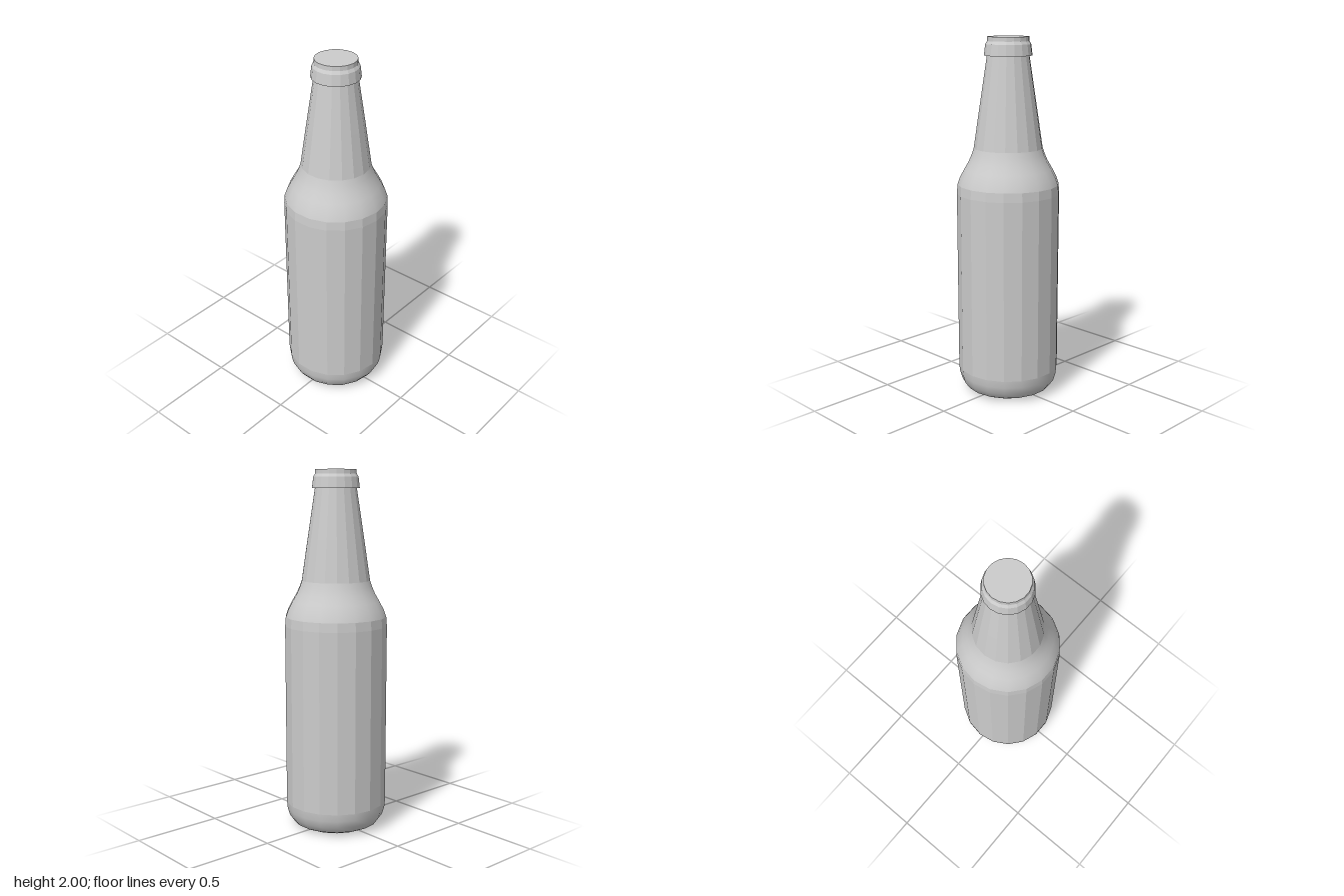
import * as THREE from 'three';

const SIDES = 18;

export function createModel() {
  const bottle = new THREE.Group();
  bottle.name = 'bottle';
  const smooth = new THREE.MeshStandardMaterial({ color: 0xcccccc });
  const faceted = new THREE.MeshStandardMaterial({ color: 0xcccccc, flatShading: true });

  // Turn a profile of [radius, height] pairs, listed from bottom to top
  function turn(name, profile, material) {
    const points = profile.map(([r, y]) => new THREE.Vector2(r, y));
    const mesh = new THREE.Mesh(new THREE.LatheGeometry(points, SIDES), material);
    mesh.name = name;
    bottle.add(mesh);
  }

  // Rounded base with a shallow hollow underneath
  turn('base', [
    [0, 0.03], [0.06, 0.026], [0.12, 0.012], [0.17, 0], [0.205, 0.006],
    [0.242, 0.024], [0.268, 0.06], [0.28, 0.1], [0.284, 0.14],
  ], smooth);

  // Straight faceted body, drawn in slightly at the top
  turn('body', [[0.284, 0.14], [0.285, 1.15], [0.281, 1.2]], faceted);

  // Smooth S-curved shoulder
  turn('shoulder', [
    [0.281, 1.2], [0.267, 1.24], [0.243, 1.285], [0.217, 1.33], [0.2, 1.37], [0.19, 1.4],
  ], smooth);

  // Faceted tapering neck
  turn('neck', [[0.19, 1.4], [0.156, 1.63], [0.115, 1.9]], faceted);

  // Flared collar with a flat underside
  turn('collarUnderside', [[0.115, 1.9], [0.131, 1.9]], faceted);
  turn('collar', [[0.131, 1.9], [0.124, 1.96], [0.114, 1.976]], faceted);

  // Lip and closed top
  turn('lip', [[0.114, 1.976], [0.113, 2]], faceted);
  turn('top', [[0.113, 2], [0, 2]], faceted);

  return bottle;
}
